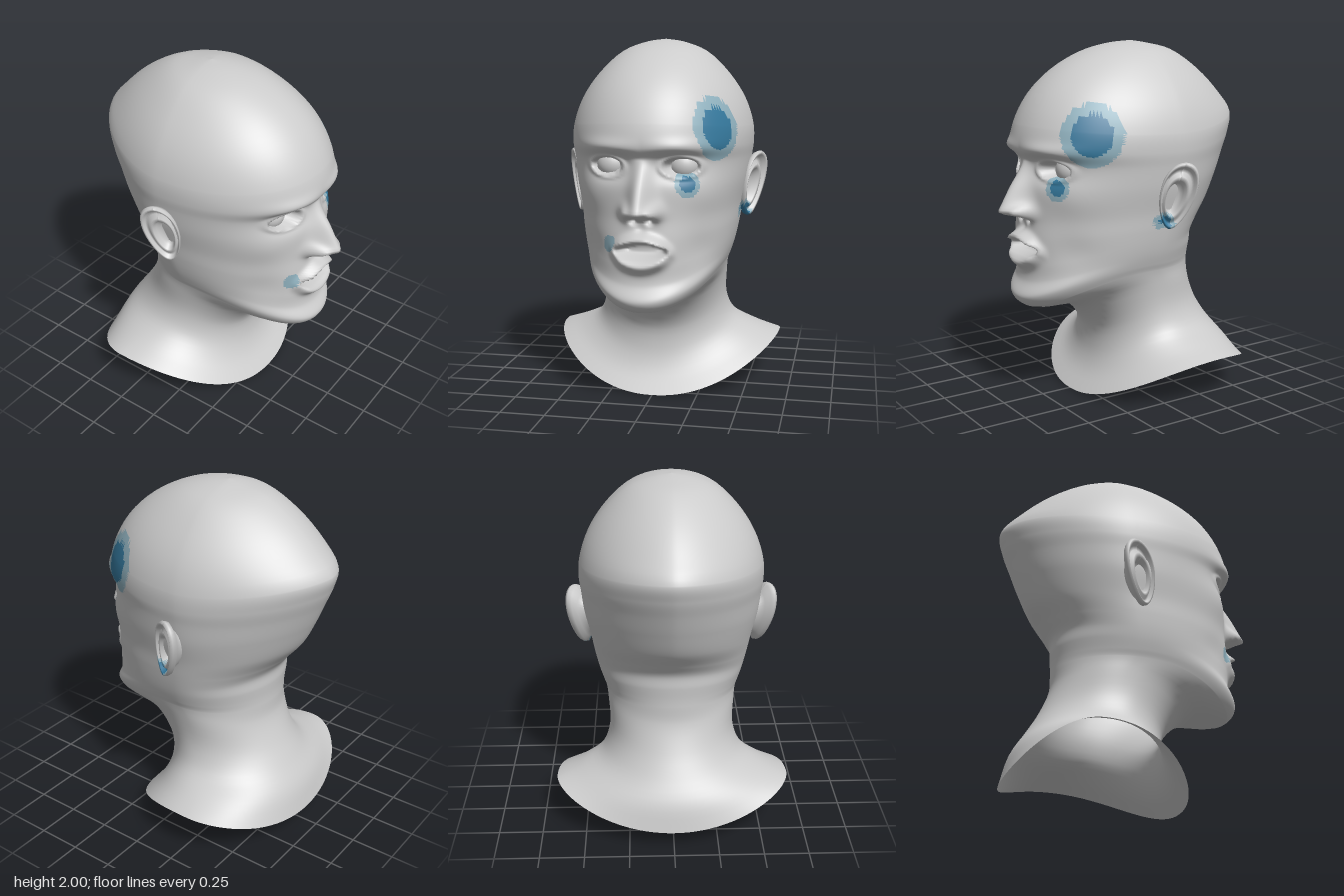
import * as THREE from 'three';

const GREY = 0xcccccc;
const { smoothstep, lerp } = THREE.MathUtils;
const bell = (d, s) => Math.exp(-(d * d) / (s * s));

// Ring guides from crown to neck edge: front [y, z], side [y, halfWidth, z], back [y, z]
const FRONT = [[2, -.1], [1.985, .04], [1.94, .2], [1.85, .37], [1.72, .51], [1.56, .6], [1.43, .622],
  [1.36, .59], [1.22, .6], [1.05, .6], [.93, .61], [.8, .61], [.7, .615], [.61, .655], [.55, .6],
  [.525, .34], [.38, .2], [.24, .19], [.12, .23], [0, .32]];
const SIDE = [[2, 0, -.1], [1.985, .1, -.1], [1.93, .24, -.1], [1.8, .375, -.1], [1.66, .465, -.1], [1.52, .51, -.1],
  [1.42, .515, -.1], [1.34, .505, -.1], [1.22, .49, -.1], [1.08, .46, -.08], [.98, .445, -.05], [.9, .43, -.03],
  [.84, .415, -.02], [.78, .395, -.02], [.74, .38, -.03], [.66, .367, -.08], [.5, .362, -.12], [.38, .41, -.18],
  [.31, .53, -.25], [.26, .67, -.3]];
const BACK = [[2, -.1], [1.985, -.2], [1.95, -.35], [1.84, -.53], [1.7, -.68], [1.6, -.76], [1.5, -.74],
  [1.4, -.7], [1.28, -.65], [1.14, -.58], [1.03, -.49], [.95, -.435], [.87, -.43], [.8, -.425], [.75, -.425],
  [.65, -.43], [.5, -.49], [.38, -.56], [.25, -.64], [.1, -.68]];

// Blue paint spots: x, y, z, radius
const SPOTS = [[.36, 1.52, .38, .17], [.22, 1.23, .5, .075], [.49, 1.03, .0, .06], [-.17, .91, .55, .05]];

// Relief of the face, added along z
function faceRelief(x, y) {
  const ax = Math.abs(x);
  let d = 0;
  // nose: bridge, wings, nostrils
  const k = THREE.MathUtils.clamp((1.37 - y) / .27, 0, 1);
  d += .155 * k * smoothstep(y, 1.035, 1.095) * bell(ax, .038 + .032 * k);
  d += .06 * bell(ax - .075, .035) * bell(y - 1.09, .042);
  d -= .06 * bell(ax - .045, .02) * bell(y - 1.052, .018);
  // brow, eye socket, lids
  d += .025 * bell(y - 1.43, .04) * bell(ax - .2, .14);
  d -= .05 * bell(ax - .18, .1) * bell(y - 1.33, .07);
  const e = Math.hypot((ax - .2) / .085, (y - 1.325) / .045);
  d += .016 * bell(e - 1.2, .22) - .05 * (1 - smoothstep(e, .82, 1.05));
  // cheekbone and cheek hollow
  d += .02 * bell(ax - .33, .1) * bell(y - 1.17, .1);
  d -= .02 * bell(ax - .3, .08) * bell(y - .88, .1);
  // open mouth with curved lips, groove above
  const q = (x / .15) ** 2, fade = 1 - smoothstep(ax, .1, .19);
  d += .058 * fade * bell(y - (.95 - .06 * q), .028);
  d += .052 * fade * bell(y - (.805 + .05 * q), .036);
  d -= .08 * (1 - smoothstep(Math.hypot(x / .15, (y - .885) / .042), .6, 1.1));
  d -= .01 * bell(x, .025) * bell(y - 1.0, .03);
  return d;
}

// Sorts the faces of a geometry into grey, pale blue and blue material groups
function paintedMesh(geo, name) {
  const bins = [[], [], []], pos = geo.attributes.position, idx = geo.index.array;
  const c = new THREE.Vector3(), v = new THREE.Vector3();
  for (let i = 0; i < idx.length; i += 3) {
    c.set(0, 0, 0);
    for (let j = 0; j < 3; j++) c.addScaledVector(v.fromBufferAttribute(pos, idx[i + j]), 1 / 3);
    let level = 0;
    SPOTS.forEach(([x, y, z, r], n) => {
      const d = Math.hypot(c.x - x, c.y - y, c.z - z) / r;
      if (d < 1) level = Math.max(level, d < .68 && n < 3 ? 2 : 1);
    });
    bins[level].push(idx[i], idx[i + 1], idx[i + 2]);
  }
  geo.setIndex(bins.flat());
  geo.computeVertexNormals();
  geo.clearGroups();
  let start = 0;
  bins.forEach((b, m) => {
    if (b.length) geo.addGroup(start, b.length, m);
    start += b.length;
  });
  const mats = [GREY, 0x8fb0bd, 0x35789c].map(
    color => new THREE.MeshStandardMaterial({ color, side: THREE.DoubleSide }));
  const mesh = new THREE.Mesh(geo, mats);
  mesh.name = name;
  return mesh;
}

// Skin lofted through the rings, denser over the face
function headSkin() {
  const curve = pts => new THREE.CatmullRomCurve3(pts);
  const front = curve(FRONT.map(([y, z]) => new THREE.Vector3(0, y, z)));
  const side = curve(SIDE.map(([y, w, z]) => new THREE.Vector3(w, y, z)));
  const back = curve(BACK.map(([y, z]) => new THREE.Vector3(0, y, z)));
  const last = FRONT.length - 1, N = 160, rows = [];
  for (let i = 0; i < last; i++) {
    const steps = i >= 5 && i < 14 ? 12 : 4;
    for (let s = 0; s < steps; s++) rows.push(i + s / steps);
  }
  rows.push(last);

  const pos = [], idx = [];
  rows.forEach((row, i) => {
    const f = front.getPoint(row / last), s = side.getPoint(row / last), b = back.getPoint(row / last);
    const backPower = lerp(1.7, 2, smoothstep(row, 8, 12));
    for (let j = 0; j < N; j++) {
      const a = j / N * Math.PI * 2, t = a + .5 * Math.cos(a);
      const co = Math.cos(t), si = Math.sin(t), end = si > 0 ? f : b;
      const p = 2 / (si > 0 ? 2.12 : backPower);
      const x = Math.max(s.x, 0) * Math.sign(co) * Math.abs(co) ** p;
      const y = lerp(s.y, end.y, si * si);
      let z = lerp(s.z, end.z, Math.abs(si) ** p);
      if (si > 0 && row < 14.5) z += faceRelief(x, y) * smoothstep(si, .2, .5);
      pos.push(x, y, z);
      if (i < rows.length - 1) {
        const A = i * N + j, B = i * N + (j + 1) % N;
        idx.push(A, B, A + N, B, B + N, A + N);
      }
    }
  });
  const geo = new THREE.BufferGeometry();
  geo.setAttribute('position', new THREE.Float32BufferAttribute(pos, 3));
  geo.setIndex(idx);
  return paintedMesh(geo, 'headAndNeck');
}

// Ear: a turned dish with bowl, inner fold and rim, stretched to an egg outline
function ear(s) {
  const profile = [[0, -.035], [.3, -.035], [.45, -.02], [.53, .012], [.64, .016], [.74, -.004], [.83, 0],
    [.89, .022], [.96, .026], [1, .01], [.96, -.012], [.75, -.03], [.6, -.06], [.55, -.11]];
  const geo = new THREE.LatheGeometry(profile.map(p => new THREE.Vector2(...p)), 40);
  const p = geo.attributes.position;
  const backDir = new THREE.Vector3(.45, 0, -.89), upDir = new THREE.Vector3(.16, .98, -.15);
  const outDir = new THREE.Vector3(.89, 0, .45), v = new THREE.Vector3();
  for (let i = 0; i < p.count; i++) {
    const a = p.getX(i), h = p.getY(i), b = p.getZ(i);
    const r = Math.hypot(a, b);
    const u = a * .1 * (1 + .25 * b) - .02 * (1 - r);
    v.set(.512, 1.18, -.065).addScaledVector(backDir, u)
      .addScaledVector(upDir, b * .188 - .03 * (1 - r)).addScaledVector(outDir, h);
    p.setXYZ(i, s * v.x, v.y, v.z);
  }
  return paintedMesh(geo, s > 0 ? 'leftEar' : 'rightEar');
}

function eye(s) {
  const mesh = new THREE.Mesh(new THREE.SphereGeometry(.085, 28, 20),
    new THREE.MeshStandardMaterial({ color: GREY }));
  mesh.position.set(s * .195, 1.325, .412);
  mesh.name = s > 0 ? 'leftEye' : 'rightEye';
  return mesh;
}

export function createModel() {
  const group = new THREE.Group();
  group.name = 'headBust';
  group.add(headSkin());
  for (const s of [1, -1]) group.add(ear(s), eye(s));
  return group;
}
